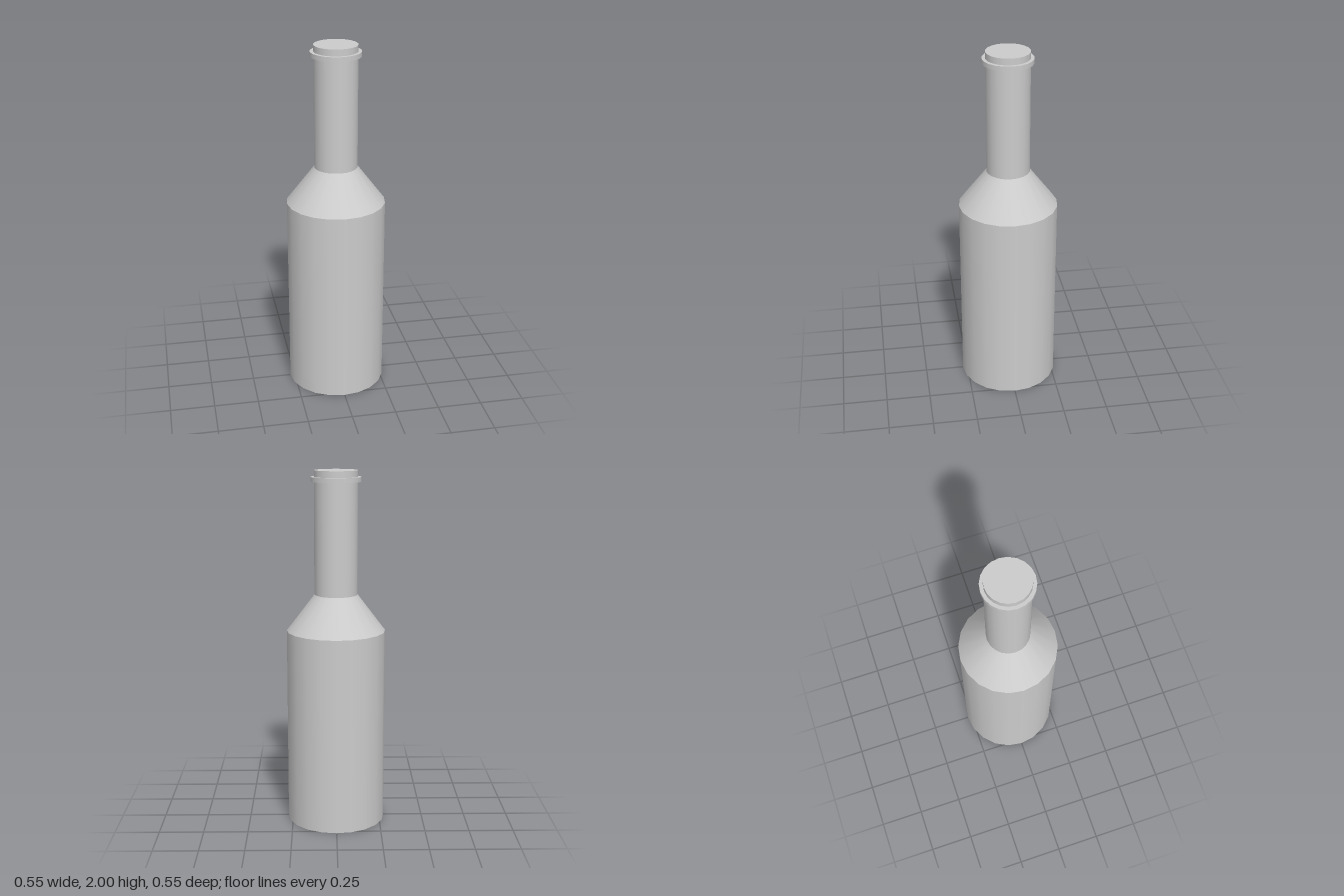
import * as THREE from 'three';

const SIDES = 20;

export function createModel() {
  const bottle = new THREE.Group();
  bottle.name = 'bottle';
  const material = new THREE.MeshStandardMaterial({ color: 0xcccccc });

  // Round section between two heights
  function addSection(name, y0, y1, r0, r1, open = false) {
    const geometry = new THREE.CylinderGeometry(r1, r0, y1 - y0, SIDES, 1, open);
    const mesh = new THREE.Mesh(geometry, material);
    mesh.name = name;
    mesh.position.y = (y0 + y1) / 2;
    bottle.add(mesh);
  }

  addSection('body', 0, 1.11, 0.277, 0.277);
  addSection('shoulder', 1.11, 1.315, 0.277, 0.121, true);
  addSection('neck', 1.315, 2, 0.121, 0.121);
  addSection('lipRing', 1.938, 1.964, 0.14, 0.14);

  return bottle;
}
